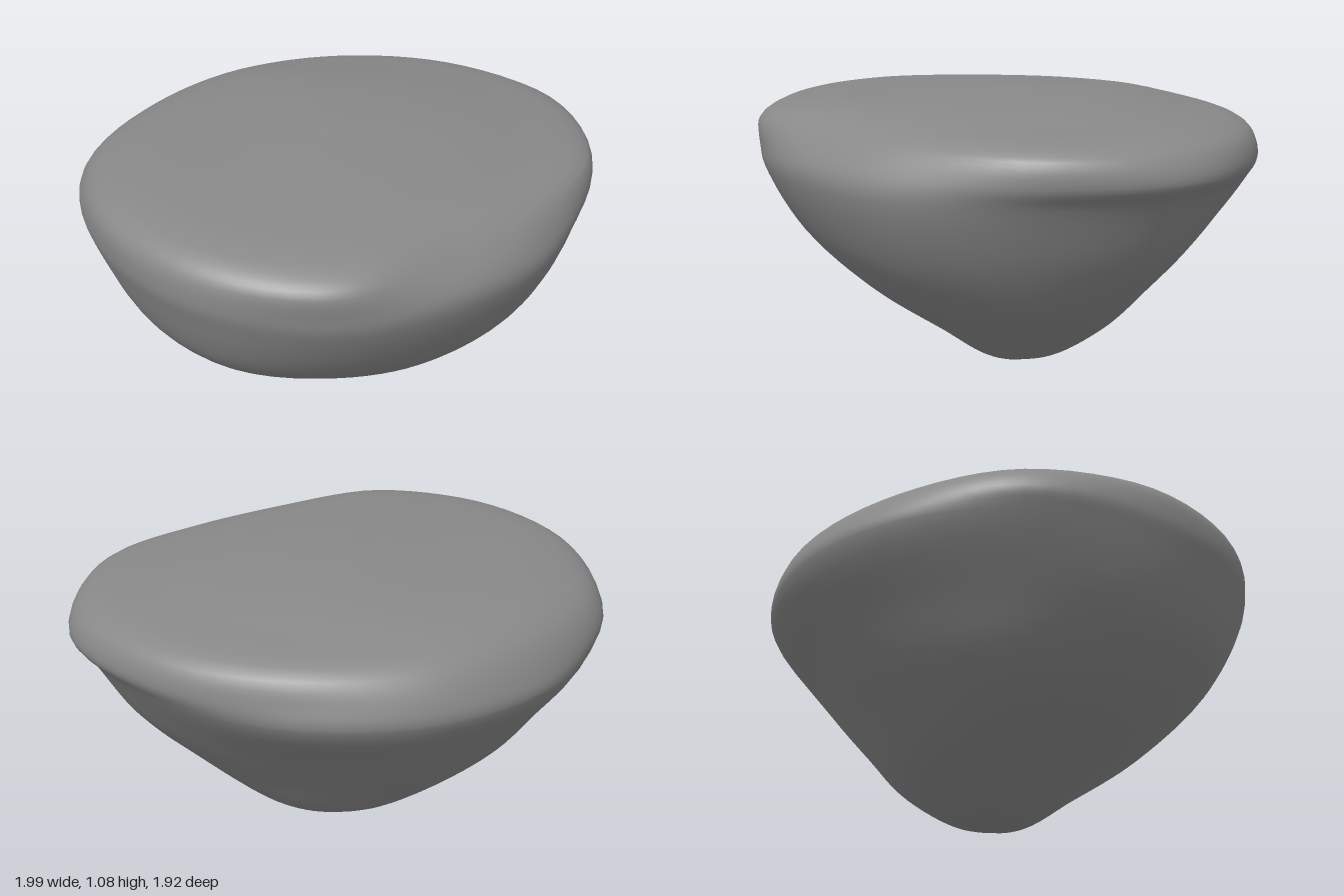
import * as THREE from 'three';
import { mergeVertices } from 'three/addons/utils/BufferGeometryUtils.js';

// Horizontal sections: height, centre x, centre z, then radii every 30 degrees from +x towards +z
const SECTIONS = [
  [0.03, 0.10, -0.05, [.12, .13, .14, .15, .14, .13, .13, .14, .16, .17, .15, .13]],
  [0.15, 0.00, -0.05, [.39, .38, .36, .35, .35, .35, .36, .36, .37, .37, .39, .40]],
  [0.35, 0, 0, [.66, .62, .59, .59, .64, .67, .68, .64, .61, .59, .62, .67]],
  [0.55, 0, 0, [.81, .79, .77, .80, .86, .86, .83, .80, .78, .755, .79, .86]],
  [0.79, 0, 0, [.93, .89, .88, .935, .965, .965, .975, .965, .96, .955, .96, 1.0]],
  [0.87, 0, 0, [.975, .88, .875, .95, .985, .985, 1.0, .95, .95, .95, 1.0, 1.06]],
  [0.97, 0, 0, [.95, .81, .79, .945, .97, .97, .945, .88, .88, .905, .96, 1.01]],
  [1.03, 0, 0, [.66, .64, .68, .84, .89, .88, .80, .75, .73, .68, .70, .73]],
  [1.07, 0, -0.03, [.34, .32, .38, .47, .46, .38, .32, .34, .38, .38, .37, .35]],
];
const AROUND = 72;
const UP = 60;

// Closed smooth loop through one section
function sectionLoop([y, cx, cz, radii]) {
  const points = radii.map((r, i) => {
    const a = (i / radii.length) * Math.PI * 2;
    return new THREE.Vector3(cx + r * Math.cos(a), y, cz + r * Math.sin(a));
  });
  const curve = new THREE.CatmullRomCurve3(points, true);
  return Array.from({ length: AROUND }, (_, j) => curve.getPoint(j / AROUND));
}

// Skin running from the blunt lower tip over the rim to the gently domed top
function rockGeometry() {
  const loops = SECTIONS.map(sectionLoop);
  const tip = new THREE.Vector3(0.11, 0.005, -0.04);
  const crown = new THREE.Vector3(-0.02, 1.085, -0.08);
  const positions = [];
  const index = [];
  for (let j = 0; j < AROUND; j++) {
    const meridian = new THREE.CatmullRomCurve3([tip, ...loops.map((l) => l[j]), crown]);
    for (let i = 0; i <= UP; i++) {
      const p = meridian.getPoint(i / UP);
      positions.push(p.x, Math.max(0, p.y), p.z);
    }
  }
  for (let j = 0; j < AROUND; j++) {
    for (let i = 0; i < UP; i++) {
      const a = j * (UP + 1) + i;
      const b = ((j + 1) % AROUND) * (UP + 1) + i;
      if (i < UP - 1) index.push(a, a + 1, b + 1);
      else index.push(a, a + 1, b);
      if (i > 0 && i < UP - 1) index.push(a, b + 1, b);
    }
  }
  const geometry = new THREE.BufferGeometry();
  geometry.setAttribute('position', new THREE.Float32BufferAttribute(positions, 3));
  geometry.setIndex(index);
  const merged = mergeVertices(geometry, 1e-5);
  merged.computeVertexNormals();
  return merged;
}

export function createModel() {
  const group = new THREE.Group();
  group.name = 'boulder';
  const rock = new THREE.Mesh(rockGeometry(), new THREE.MeshStandardMaterial({ color: 0x888888 }));
  rock.name = 'rock';
  group.add(rock);
  return group;
}
